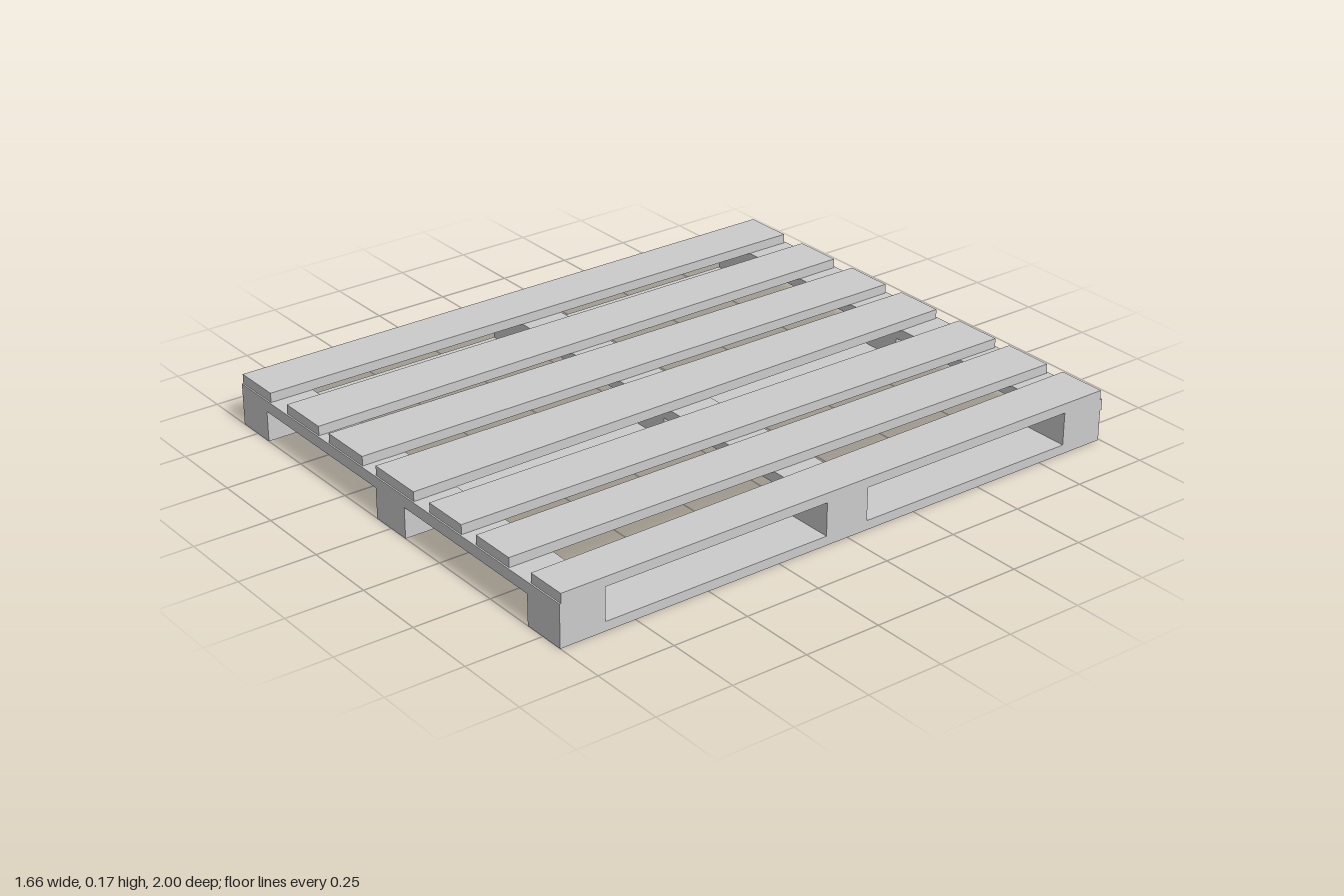
import * as THREE from 'three';

const material = new THREE.MeshStandardMaterial({ color: 0xcccccc, flatShading: true });

// Box given by its min and max on each axis
function plank(name, [x0, x1], [y0, y1], [z0, z1]) {
  const geometry = new THREE.BoxGeometry(x1 - x0, y1 - y0, z1 - z0);
  geometry.translate((x0 + x1) / 2, (y0 + y1) / 2, (z0 + z1) / 2);
  const mesh = new THREE.Mesh(geometry, material);
  mesh.name = name;
  return mesh;
}

// Slightly uneven board: separate x ranges at its back and front ends
function taperedPlank(name, back, front, y, z) {
  const mesh = plank(name, [0, 1], y, z);
  const p = mesh.geometry.attributes.position;
  for (let i = 0; i < p.count; i++) {
    const range = p.getZ(i) < 0 ? back : front;
    p.setX(i, range[p.getX(i) < 0.5 ? 0 : 1]);
  }
  mesh.geometry.computeVertexNormals();
  return mesh;
}

export function createModel() {
  const pallet = new THREE.Group();
  pallet.name = 'pallet';

  // Heights of the four layers
  const runnerY = [0, 0.03], blockY = [0.03, 0.1], crossY = [0.1, 0.137], deckY = [0.137, 0.168];
  const columns = [[-0.83, -0.685], [-0.075, 0.075], [0.68, 0.83]];
  const rows = [[-0.995, -0.845], [-0.072, 0.078], [0.85, 1]];

  // Bottom runners with spacer blocks on top
  for (const x of columns) {
    pallet.add(plank('bottomRunner', x, runnerY, [-0.995, 1]));
    for (const z of rows) pallet.add(plank('spacerBlock', x, blockY, z));
  }

  // Cross boards joining the blocks
  for (const z of rows) {
    const back = z[0] < -0.5 ? -1 : z[0];
    pallet.add(plank('crossBoard', [-0.83, 0.83], crossY, [back, z[1]]));
  }

  // Deck boards: x range at the back end, then at the front end
  const deck = [
    [[-0.83, -0.665], [-0.83, -0.665]],
    [[-0.57, -0.405], [-0.57, -0.39]],
    [[-0.315, -0.148], [-0.333, -0.15]],
    [[-0.07, 0.097], [-0.078, 0.12]],
    [[0.203, 0.37], [0.2, 0.36]],
    [[0.432, 0.6], [0.432, 0.59]],
    [[0.668, 0.83], [0.693, 0.83]],
  ];
  for (const [back, front] of deck) {
    pallet.add(taperedPlank('deckBoard', back, front, deckY, [-0.992, 0.995]));
  }
  return pallet;
}
